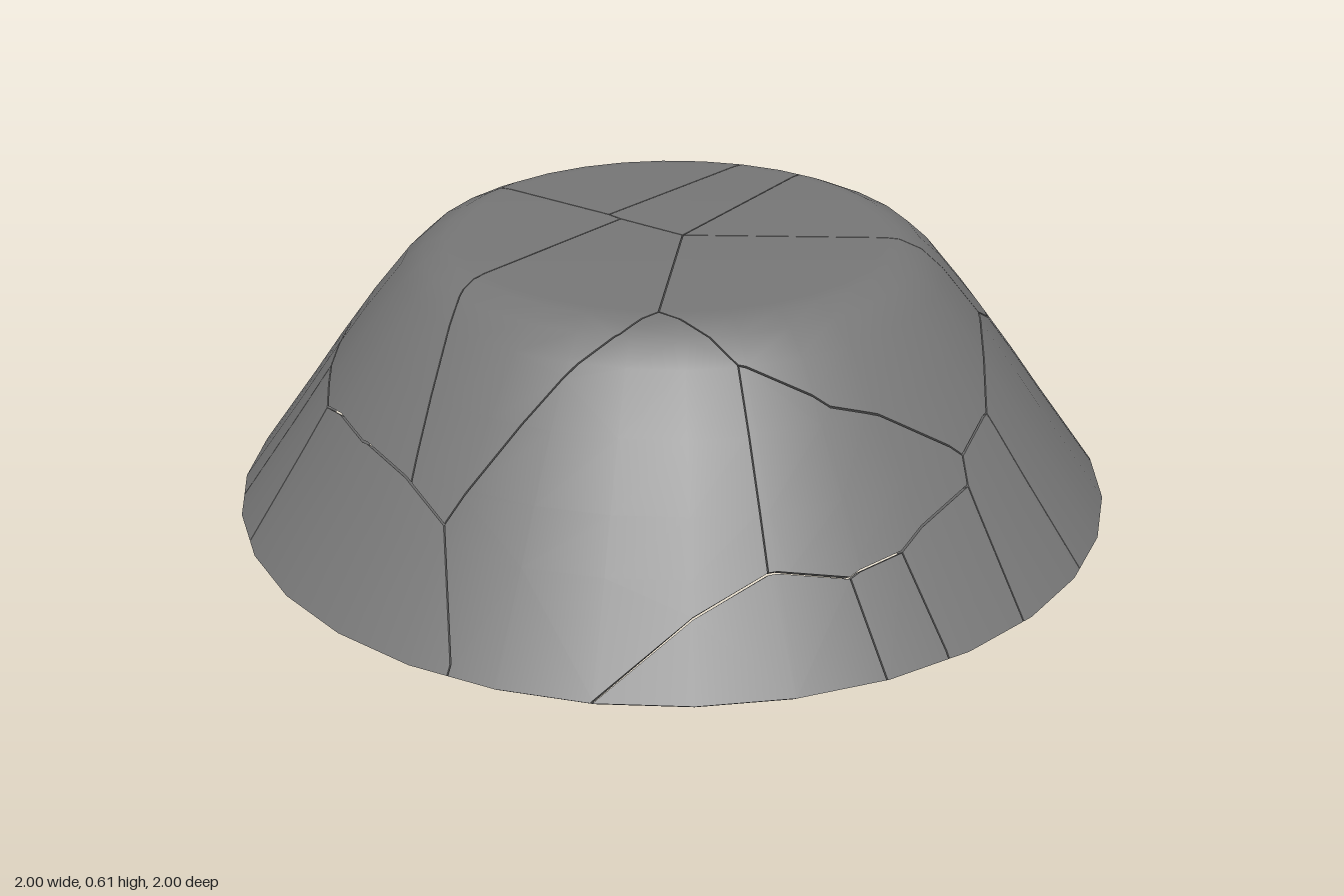
import * as THREE from 'three';

const SIDES = 32, THICK = 0.024, GAP = 0.0013;

// Outer profile of the upturned bowl: [radius, height]
const PROFILE = [[0, 0.61], [0.48, 0.61], [0.51, 0.607], [0.56, 0.585], [0.61, 0.54], [0.7, 0.43],
  [0.79, 0.308], [0.86, 0.208], [1, 0.014]];
const slope = (a, b) => Math.atan2(a[1] - b[1], b[0] - a[0]);
// Tilt of the surface normal at each profile point
const TILT = PROFILE.map((p, i) => {
  const before = i ? slope(PROFILE[i - 1], p) : 0;
  const after = i < PROFILE.length - 1 ? slope(p, PROFILE[i + 1]) : before;
  return (before + after) / 2;
});

// Crack junctions in plan: [x, z]
const J = {
  c: [0.04, 0], a: [-0.17, 0.055], b: [-0.13, 0.05], n1: [-0.29, -0.45], n2: [-0.305, -0.7],
  m1: [-0.145, -0.5], m2: [-0.18, -0.73], e: [0.455, -0.525], f: [0.42, -0.59], g: [0.37, 0.305],
  d1: [-0.005, 0.54], d2: [0.175, 0.785], h: [0.375, 0.405], i: [0.555, 0.245], j: [0.785, 0.345],
  w1: [-0.255, -0.72], wa: [-0.51, -0.635], w2: [-0.625, -0.56], wb: [-0.685, -0.35], w3: [-0.71, -0.14],
  w4: [-0.61, 0.19], w5: [-0.62, 0.235],
  s1: [-0.485, 0.57], s2: [-0.375, 0.68], s3: [-0.24, 0.76], s4: [-0.02, 0.79], s5: [0.295, 0.78],
  k1: [0.855, 0.195], k2: [0.86, 0.065], k3: [0.81, -0.16], l: [0.77, -0.18], p: [0.67, 0.1],
  q: [0.7, -0.315], t1: [0.215, -0.715], t2: [0.06, -0.765], t3: [0, -0.765], t4: [-0.075, -0.765],
};
// Where cracks meet the rim
const R = {
  R1: [0.455, 0.87], R2: [0.705, 0.71], R3: [0.98, 0.2], R4: [0.985, 0.05], R5: [0.985, -0.17],
  R6: [0.9, -0.42], R7: [0.56, -0.81], R8: [0.14, -0.975], R9: [-0.01, -0.99], R10: [-0.16, -0.965],
  R11: [-0.305, -0.925], R12: [-0.985, -0.17], R13: [-0.92, 0.36], R14: [-0.655, 0.755],
  R15: [-0.47, 0.88], R16: [-0.26, 0.955], R17: [-0.735, -0.665],
};
const SHARDS = {
  backTopShard: 'c e f t1 t2 t3 t4 m2 m1', stripTopShard: 'c m1 m2 w1 n2 n1 a b',
  rightTopShard: 'a n1 n2 wa w2 wb w3 w4', frontRightTopShard: 'b a w4 w5 s1 s2 s3 s4 d2 d1',
  frontTopShard: 'c b d1 d2 s5 h g', leftTopShard: 'c g i p l q e',
  frontLeftShard: 'g h s5 R1 R2 j i', leftRimShard1: 'j R2 R3 k1', leftRimShard2: 'k1 R3 R4 k2',
  leftRimShard3: 'k2 R4 R5 k3', leftSideShard: 'i j k1 k2 k3 l p', leftRimShard4: 'l k3 R5 R6 q',
  backLeftRimShard: 'q R6 R7 f e', backRimShard1: 'f R7 R8 t2 t1', backRimShard2: 't2 R8 R9 t3',
  backRimShard3: 't3 R9 R10 t4', backRimShard4: 't4 R10 R11 w1 m2', backRimShard5: 'w1 R11 R17 w2 wa n2',
  backRightRimShard: 'w2 R17 R12 w3 wb',
  rightRimShard: 'w3 R12 R13 w5 w4', frontRightRimShard1: 'w5 R13 R14 s1', frontRightRimShard2: 's1 R14 R15 s2',
  frontRightRimShard3: 's2 R15 R16 s3', frontRimShard: 's3 R16 R1 s5 d2 s4',
};

const area = (poly) => poly.reduce((sum, p, i) => {
  const n = poly[(i + 1) % poly.length];
  return sum + p[0] * n[1] - n[0] * p[1];
}, 0) / 2;
// Signed distance of p to the left of line a-b
const side = (a, b, p) => ((b[0] - a[0]) * (p[1] - a[1]) - (b[1] - a[1]) * (p[0] - a[0])) /
  Math.hypot(b[0] - a[0], b[1] - a[1]);

// Plan outline of a shard, run past the rim and shrunk to leave a crack
function shardOutline(keys) {
  const list = keys.split(' ');
  let poly = [];
  list.forEach((key, n) => {
    if (J[key]) { poly.push(J[key]); return; }
    const r = R[key], far = [r[0] * 1.3, r[1] * 1.3];
    poly.push(...(R[list[n + 1]] ? [r, far] : [far, r]));
  });
  if (area(poly) < 0) poly = poly.reverse();
  return poly.map((p, i) => {
    const a = poly[(i + poly.length - 1) % poly.length], b = poly[(i + 1) % poly.length];
    const l1 = Math.hypot(p[0] - a[0], p[1] - a[1]), l2 = Math.hypot(b[0] - p[0], b[1] - p[1]);
    const n1 = [(a[1] - p[1]) / l1, (p[0] - a[0]) / l1], n2 = [(p[1] - b[1]) / l2, (b[0] - p[0]) / l2];
    const s = GAP / Math.max(0.3, 1 + n1[0] * n2[0] + n1[1] * n2[1]);
    return [p[0] + (n1[0] + n2[0]) * s, p[1] + (n1[1] + n2[1]) * s];
  });
}

// Cut a polygon by a convex cell
function clip(poly, cell) {
  cell.forEach((a, i) => {
    const b = cell[(i + 1) % cell.length], out = [];
    poly.forEach((p, n) => {
      const q = poly[(n + 1) % poly.length], dp = side(a, b, p), dq = side(a, b, q);
      if (dp >= 0) out.push(p);
      if ((dp >= 0) !== (dq >= 0)) {
        const t = dp / (dp - dq);
        out.push([p[0] + (q[0] - p[0]) * t, p[1] + (q[1] - p[1]) * t]);
      }
    });
    poly = out;
  });
  return poly;
}

// Lift a plan point onto the outer and inner surfaces
function lift([x, z], band, mid) {
  const rho = (x * Math.cos(mid) + z * Math.sin(mid)) / Math.cos(Math.PI / SIDES);
  const [r0, y0] = PROFILE[band], [r1, y1] = PROFILE[band + 1];
  const t = THREE.MathUtils.clamp((rho - r0) / (r1 - r0), 0, 1);
  const tilt = TILT[band] + (TILT[band + 1] - TILT[band]) * t, y = y0 + (y1 - y0) * t;
  const len = Math.hypot(x, z) || 1;
  const normal = new THREE.Vector3(x / len * Math.sin(tilt), Math.cos(tilt), z / len * Math.sin(tilt));
  const k = rho > 1e-4 ? (rho - Math.sin(tilt) * THICK) / rho : 1;
  return { outer: new THREE.Vector3(x, y, z), normal,
    inner: new THREE.Vector3(x * k, y - Math.cos(tilt) * THICK, z * k), inward: normal.clone().negate() };
}

function shardGeometry(outline) {
  const positions = [], normals = [];
  const tri = (pts, ns) => pts.forEach((p, i) => {
    positions.push(p.x, p.y, p.z);
    normals.push(ns[i].x, ns[i].y, ns[i].z);
  });
  for (let band = 0; band < PROFILE.length - 1; band++) for (let s = 0; s < SIDES; s++) {
    const a0 = s / SIDES * Math.PI * 2, a1 = (s + 1) / SIDES * Math.PI * 2, mid = (a0 + a1) / 2;
    const at = (r, a) => [r * Math.cos(a), r * Math.sin(a)];
    const r0 = PROFILE[band][0], r1 = PROFILE[band + 1][0];
    const cell = [at(r0, a0), at(r1, a0), at(r1, a1)];
    if (r0 > 0) cell.push(at(r0, a1));
    const poly = clip(outline, cell);
    if (poly.length < 3 || area(poly) < 1e-8) continue;
    const pts = poly.map((p) => lift(p, band, mid));
    // Outer and inner skins
    const faces = THREE.ShapeUtils.triangulateShape(poly.map((p) => new THREE.Vector2(...p)), []);
    for (const face of faces) {
      const turn = area(face.map((i) => poly[i]));
      if (Math.abs(turn) < 1e-10) continue;
      const [a, b, c] = (turn > 0 ? [face[0], face[2], face[1]] : face).map((i) => pts[i]);
      tri([a.outer, b.outer, c.outer], [a.normal, b.normal, c.normal]);
      tri([a.inner, c.inner, b.inner], [a.inward, c.inward, b.inward]);
    }
    // Broken edges and the rim
    poly.forEach((p, i) => {
      const n = (i + 1) % poly.length, q = poly[n];
      if (Math.hypot(q[0] - p[0], q[1] - p[1]) < 1e-6) return;
      const m = [(p[0] + q[0]) / 2, (p[1] + q[1]) / 2];
      const inside = cell.every((a, k) => side(a, cell[(k + 1) % cell.length], m) > 1e-6);
      const rim = band === PROFILE.length - 2 &&
        [p, q].every((v) => Math.abs(side(cell[1], cell[2], v)) < 1e-6);
      if (!inside && !rim) return;
      const A = pts[i], B = pts[n];
      const w = B.outer.clone().sub(A.outer).cross(A.inner.clone().sub(A.outer)).normalize();
      tri([A.outer, B.outer, B.inner], [w, w, w]);
      tri([A.outer, B.inner, A.inner], [w, w, w]);
    });
  }
  const geometry = new THREE.BufferGeometry();
  geometry.setAttribute('position', new THREE.Float32BufferAttribute(positions, 3));
  geometry.setAttribute('normal', new THREE.Float32BufferAttribute(normals, 3));
  return geometry;
}

export function createModel() {
  const bowl = new THREE.Group();
  bowl.name = 'crackedBowl';
  // Dark grey stoneware
  const material = new THREE.MeshStandardMaterial({ color: 0x777777 });
  for (const [name, keys] of Object.entries(SHARDS)) {
    const shard = new THREE.Mesh(shardGeometry(shardOutline(keys)), material);
    shard.name = name;
    bowl.add(shard);
  }
  return bowl;
}
